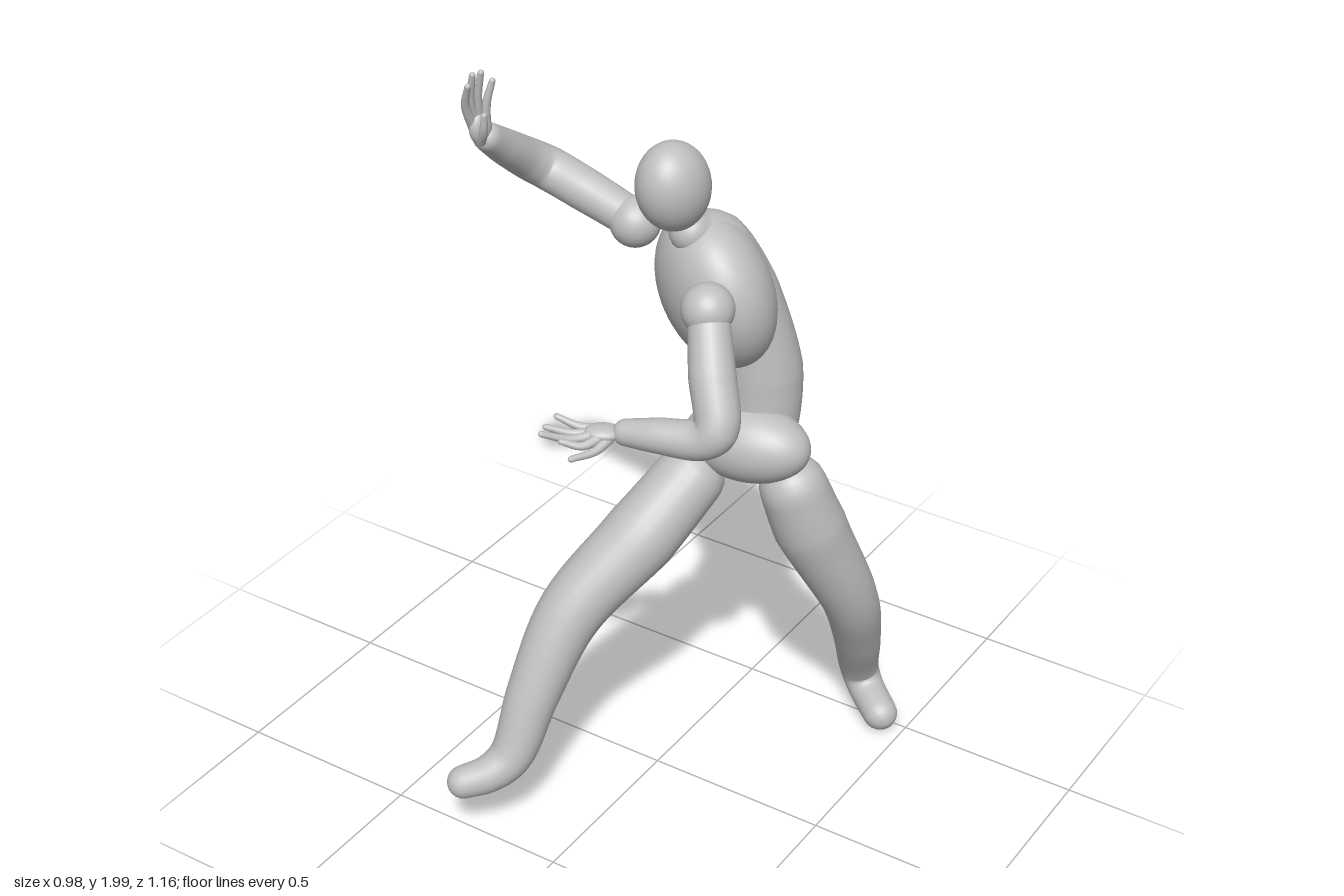
import * as THREE from 'three';

const V = (p) => new THREE.Vector3(...p);

// Round-ended tube through [x, y, z, radius] points
function limbGeometry(points, sides = 24, perSpan = 8) {
  const curve = new THREE.CatmullRomCurve3(points.map(V), false, 'centripetal');
  const spans = points.length - 1, n = spans * perSpan, rings = [];
  const radiusAt = (t) => {
    const i = Math.min(Math.floor(t * spans), spans - 1);
    return THREE.MathUtils.lerp(points[i][3], points[i + 1][3], t * spans - i);
  };
  const cap = (t, sign) => {
    const p = curve.getPoint(t), d = curve.getTangent(t), r = radiusAt(t), out = [];
    for (let k = 1; k <= 6; k++) {
      const a = (k / 6) * Math.PI / 2;
      out.push({ p: p.clone().addScaledVector(d, sign * r * Math.sin(a)), d, r: Math.max(r * Math.cos(a), 0.0005) });
    }
    return out;
  };
  rings.push(...cap(0, -1).reverse());
  for (let i = 0; i <= n; i++) {
    rings.push({ p: curve.getPoint(i / n), d: curve.getTangent(i / n), r: radiusAt(i / n) });
  }
  rings.push(...cap(1, 1));

  const pos = [], index = [];
  const d0 = rings[0].d;
  let N = Math.abs(d0.x) < 0.7 ? new THREE.Vector3(1, 0, 0) : new THREE.Vector3(0, 0, 1);
  rings.forEach(({ p, d, r }, i) => {
    N = N.clone().addScaledVector(d, -N.dot(d)).normalize();
    const B = d.clone().cross(N);
    for (let j = 0; j < sides; j++) {
      const a = (j / sides) * Math.PI * 2;
      const q = p.clone().addScaledVector(N, r * Math.cos(a)).addScaledVector(B, r * Math.sin(a));
      pos.push(q.x, q.y, q.z);
      if (i < rings.length - 1) {
        const s = i * sides, k = (j + 1) % sides;
        index.push(s + j, s + k, s + sides + j, s + k, s + sides + k, s + sides + j);
      }
    }
  });
  const g = new THREE.BufferGeometry();
  g.setAttribute('position', new THREE.Float32BufferAttribute(pos, 3));
  g.setIndex(index);
  g.computeVertexNormals();
  return g;
}

export function createModel() {
  const model = new THREE.Group();
  model.name = 'posedMannequin';
  const grey = new THREE.MeshStandardMaterial({ color: 0xc0c0c0 });
  grey.name = 'light grey';

  const add = (name, geometry, parent = model) => {
    const m = new THREE.Mesh(geometry, grey);
    m.name = name;
    parent.add(m);
    return m;
  };
  const limb = (name, points, parent) => add(name, limbGeometry(points), parent);

  // Ellipsoid whose axes follow a sideways and an upward direction
  const ellipsoid = (name, centre, radii, side = [1, 0, 0], up = [0, 1, 0], parent) => {
    const m = add(name, new THREE.SphereGeometry(1, 40, 28), parent);
    const L = V(side).normalize(), U = V(up);
    U.addScaledVector(L, -U.dot(L)).normalize();
    m.quaternion.setFromRotationMatrix(new THREE.Matrix4().makeBasis(L, U, L.clone().cross(U)));
    m.position.set(...centre);
    m.scale.set(...radii);
    return m;
  };

  // Head and trunk
  ellipsoid('head', [0.04, 1.765, -0.005], [0.088, 0.118, 0.1], [1, 0, 0], [0, 0.94, 0.34]);
  ellipsoid('chest', [0.08, 1.44, -0.14], [0.2, 0.215, 0.135], [0.345, -0.045, 0.216], [-0.17, 0.95, 0.2]);
  ellipsoid('pelvis', [0.185, 1.035, -0.13], [0.175, 0.104, 0.104], [1, 0.08, -0.05]);
  limb('spine', [
    [0.05, 1.62, -0.07, 0.055], [0.07, 1.56, -0.13, 0.095], [0.11, 1.42, -0.18, 0.112],
    [0.165, 1.2, -0.213, 0.113], [0.18, 1.06, -0.2, 0.1], [0.18, 1.02, -0.19, 0.085],
  ]);

  // Legs, each one smooth piece from hip to toe
  limb('rightLeg', [
    [0.065, 0.93, -0.05, 0.09], [0.0, 0.8, 0.08, 0.098], [-0.105, 0.62, 0.25, 0.085],
    [-0.145, 0.42, 0.365, 0.07], [-0.167, 0.255, 0.445, 0.057],
    [-0.2, 0.215, 0.495, 0.05], [-0.25, 0.195, 0.54, 0.044],
  ]);
  limb('leftLeg', [
    [0.305, 0.92, -0.165, 0.088], [0.335, 0.79, -0.205, 0.096], [0.395, 0.52, -0.325, 0.076],
    [0.37, 0.32, -0.43, 0.065], [0.335, 0.13, -0.525, 0.053],
    [0.365, 0.082, -0.515, 0.05], [0.435, 0.058, -0.465, 0.048],
  ]);

  // Shoulder balls and arms
  ellipsoid('rightShoulder', [-0.162, 1.555, -0.146], [0.066, 0.066, 0.066]);
  ellipsoid('leftShoulder', [0.187, 1.51, 0.07], [0.066, 0.066, 0.066]);
  limb('rightArm', [
    [-0.19, 1.567, -0.145, 0.052], [-0.31, 1.605, -0.142, 0.056], [-0.41, 1.64, -0.132, 0.057],
    [-0.44, 1.675, -0.09, 0.054], [-0.447, 1.75, 0.01, 0.045], [-0.445, 1.8, 0.075, 0.037],
  ]);
  limb('leftArm', [
    [0.2, 1.485, 0.085, 0.052], [0.245, 1.38, 0.14, 0.058], [0.288, 1.27, 0.19, 0.056],
    [0.26, 1.24, 0.205, 0.052], [0.15, 1.227, 0.232, 0.044], [0.07, 1.217, 0.247, 0.034],
  ]);

  // Hands: a flat palm with four fingers and a thumb, each bent once
  const hand = (name, palm, digits) => {
    const g = new THREE.Group();
    g.name = name;
    model.add(g);
    ellipsoid('palm', ...palm, g);
    digits.forEach(([a, b, c], i) => {
      const pts = [[...a, 0.014], [...b, 0.011], [...c, 0.008]];
      add(i < 4 ? 'finger' + (i + 1) : 'thumb', limbGeometry(pts, 10, 4), g);
    });
  };
  hand('rightHand', [[-0.445, 1.835, 0.103], [0.022, 0.045, 0.034], [1, 0, 0.1], [0, 1, 0.2]], [
    [[-0.455, 1.835, 0.115], [-0.452, 1.91, 0.15], [-0.43, 1.97, 0.167]],
    [[-0.455, 1.84, 0.108], [-0.45, 1.92, 0.133], [-0.433, 1.99, 0.143]],
    [[-0.45, 1.84, 0.1], [-0.442, 1.92, 0.114], [-0.425, 1.99, 0.12]],
    [[-0.44, 1.835, 0.09], [-0.432, 1.9, 0.093], [-0.418, 1.958, 0.085]],
    [[-0.44, 1.805, 0.11], [-0.42, 1.84, 0.125], [-0.412, 1.885, 0.13]],
  ]);
  hand('leftHand', [[0.02, 1.215, 0.272], [0.047, 0.018, 0.034], [-0.84, 0.05, 0.5], [0, 1, 0]], [
    [[0.02, 1.215, 0.255], [-0.04, 1.217, 0.285], [-0.094, 1.238, 0.305]],
    [[0.015, 1.215, 0.265], [-0.04, 1.21, 0.31], [-0.096, 1.23, 0.35]],
    [[0.015, 1.215, 0.28], [-0.03, 1.21, 0.335], [-0.078, 1.238, 0.393]],
    [[0.025, 1.212, 0.29], [0.0, 1.2, 0.335], [-0.04, 1.215, 0.365]],
    [[0.04, 1.205, 0.28], [0.03, 1.19, 0.325], [0.002, 1.19, 0.385]],
  ]);

  return model;
}
